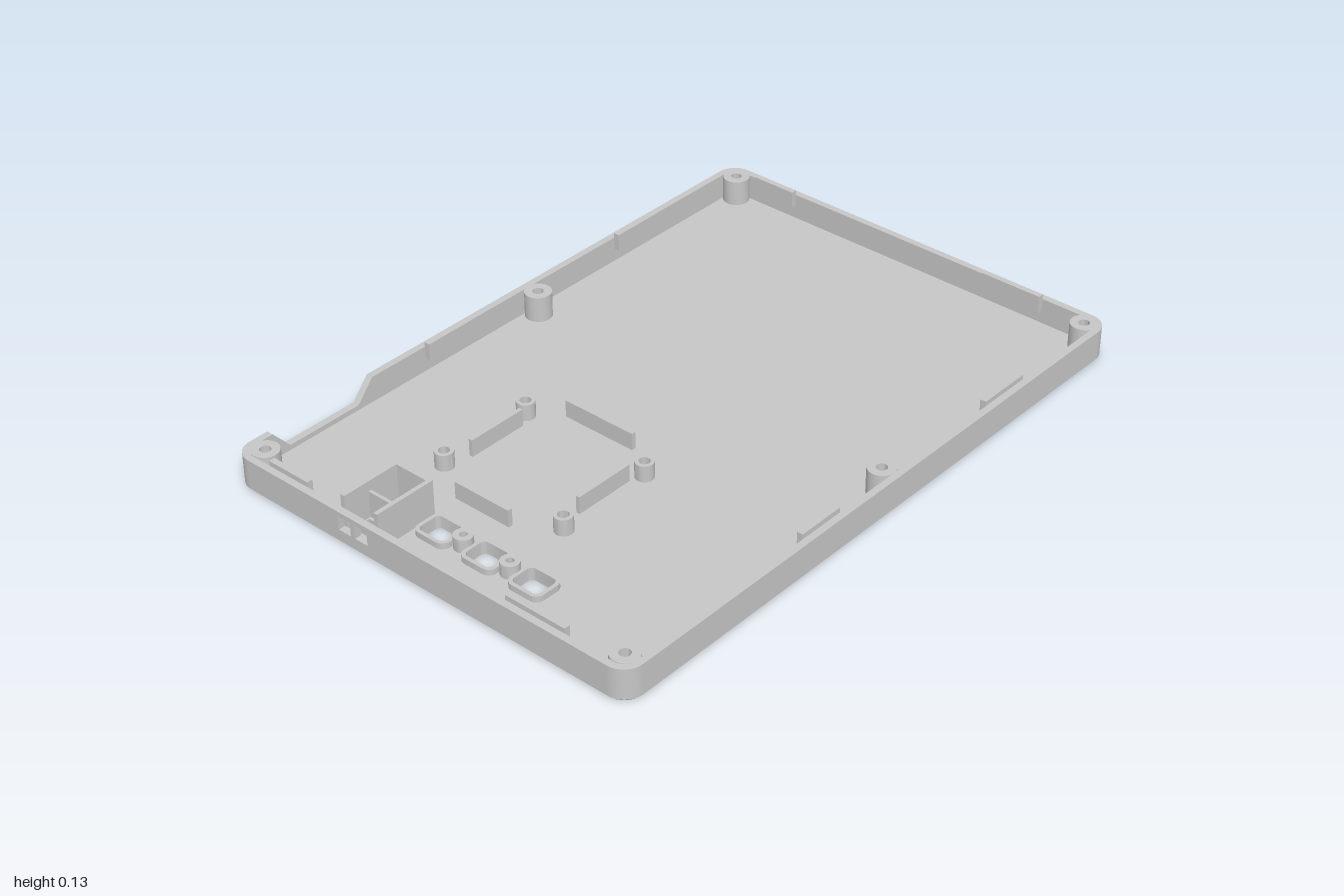
import * as THREE from 'three';
import { toCreasedNormals } from 'three/addons/utils/BufferGeometryUtils.js';

const W = 0.683, L = 1, H = 0.098, T = 0.021, R = 0.06, FLOOR = 0.02, CH = 0.007;

// Rounded rectangle, in plan coordinates (x, -z)
function roundRect(P, x, z, w, l, r) {
  const p = new P(), a = w / 2 - r, b = l / 2 - r, y = -z;
  p.absarc(x + a, y + b, r, 0, Math.PI / 2);
  p.absarc(x - a, y + b, r, Math.PI / 2, Math.PI);
  p.absarc(x - a, y - b, r, Math.PI, Math.PI * 1.5);
  p.absarc(x + a, y - b, r, Math.PI * 1.5, Math.PI * 2);
  p.closePath();
  return p;
}
function circle(P, x, z, r) {
  const p = new P();
  p.absarc(x, -z, r, 0, Math.PI * 2);
  return p;
}
function polygon(P, pts) {
  return new P(pts.map(([x, y]) => new THREE.Vector2(x, y)));
}
const rect = (P, x0, x1, y0, y1) => polygon(P, [[x0, y0], [x1, y0], [x1, y1], [x0, y1]]);
const extrude = (shape, depth) =>
  toCreasedNormals(new THREE.ExtrudeGeometry(shape, { depth, bevelEnabled: false, curveSegments: 10 }), 0.7);

export function createModel() {
  const model = new THREE.Group();
  model.name = 'enclosureHalf';
  const grey = new THREE.MeshStandardMaterial({ color: 0xc6c6c6 });
  grey.name = 'light grey plastic';

  const add = (name, geo) => {
    const m = new THREE.Mesh(geo, grey);
    m.name = name;
    model.add(m);
  };
  // Plan shape raised from y0 to y1
  const plate = (name, shape, y0, y1) =>
    add(name, extrude(shape, y1 - y0).rotateX(-Math.PI / 2).translate(0, y0, 0));
  const box = (name, x0, x1, y0, y1, z0, z1) =>
    add(name, new THREE.BoxGeometry(x1 - x0, y1 - y0, z1 - z0)
      .translate((x0 + x1) / 2, (y0 + y1) / 2, (z0 + z1) / 2));
  const tube = (name, x, z, r, hole, y1) => {
    const s = circle(THREE.Shape, x, z, r);
    s.holes.push(circle(THREE.Path, x, z, hole));
    plate(name, s, FLOOR, y1);
  };

  const screws = [[-0.627, -0.95], [0.627, -0.953], [-0.627, -0.083], [0.623, -0.043], [-0.627, 0.937], [0.623, 0.937]];
  const buttons = [-0.102, 0.06, 0.222], buttonZ = 0.826;

  // Floor with screw, button and vent openings
  const floor = roundRect(THREE.Shape, 0, 0, 2 * (W - CH), 2 * (L - CH), R - CH);
  screws.forEach(([x, z]) => floor.holes.push(circle(THREE.Path, x, z, 0.028)));
  buttons.forEach(x => floor.holes.push(roundRect(THREE.Path, x, buttonZ, 0.09, 0.075, 0.015)));
  for (let i = 0; i < 4; i++) {
    const z = 0.9 + 0.021 * i;
    floor.holes.push(rect(THREE.Path, -0.285, -0.191, -z - 0.012, -z));
  }
  plate('floor', floor, 0, FLOOR);

  // Chamfer around the bottom edge
  const low = roundRect(THREE.Shape, 0, 0, 2 * (W - CH), 2 * (L - CH), R - CH).getPoints(10);
  const high = roundRect(THREE.Shape, 0, 0, 2 * W, 2 * L, R).getPoints(10);
  const pos = [];
  for (let i = 0; i < low.length; i++) {
    const j = (i + 1) % low.length;
    const a = [low[i].x, 0, -low[i].y], b = [low[j].x, 0, -low[j].y];
    const c = [high[j].x, CH, -high[j].y], d = [high[i].x, CH, -high[i].y];
    pos.push(...a, ...b, ...c, ...a, ...c, ...d);
  }
  const chamfer = new THREE.BufferGeometry();
  chamfer.setAttribute('position', new THREE.Float32BufferAttribute(pos, 3));
  chamfer.computeVertexNormals();
  add('bottomChamfer', toCreasedNormals(chamfer, 0.7));

  // Front wall with two port windows, plain back wall
  const ex = W - R, ez = L - R;
  const front = rect(THREE.Shape, -ex, ex, CH, H);
  front.holes.push(rect(THREE.Path, -0.288, -0.244, 0.042, 0.084), rect(THREE.Path, -0.229, -0.184, 0.042, 0.084));
  add('frontWall', extrude(front, T).translate(0, 0, L - T));
  box('backWall', -ex, ex, CH, H, -L, -L + T);

  // Plain left wall, right wall with a sloped cut-out
  box('leftWall', W - T, W, CH, H, -ez, ez);
  const side = polygon(THREE.Shape, [[-ez, CH], [ez, CH], [ez, H], [0.88, H], [0.825, 0.035],
    [0.58, 0.035], [0.525, H], [-ez, H]]);
  add('rightWall', extrude(side, T).rotateY(-Math.PI / 2).translate(-W + T, 0, 0));

  // Rounded wall corners
  [[1, 1], [-1, 1], [-1, -1], [1, -1]].forEach(([sx, sy], i) => {
    const a = i * Math.PI / 2, s = new THREE.Shape();
    s.absarc(sx * ex, sy * ez, R, a, a + Math.PI / 2, false);
    s.absarc(sx * ex, sy * ez, R - T, a + Math.PI / 2, a, true);
    s.closePath();
    plate('wallCorner', s, CH, H);
  });

  // Screw bosses and board standoffs
  screws.forEach(([x, z]) => tube('screwBoss', x, z, 0.04, 0.016, H));
  for (const x of [-0.305, 0.12]) for (const z of [0.305, 0.611]) tube('standoff', x, z, 0.027, 0.016, 0.07);
  for (const x of [-0.021, 0.141]) tube('buttonPost', x, buttonZ, 0.027, 0.011, 0.06);

  // Raised rims around the button openings
  buttons.forEach(x => {
    const s = roundRect(THREE.Shape, x, buttonZ, 0.112, 0.097, 0.025);
    s.holes.push(roundRect(THREE.Path, x, buttonZ, 0.09, 0.075, 0.015));
    plate('buttonRim', s, FLOOR, 0.038);
  });

  // Locating fins around the board area
  const finTop = 0.072;
  box('boardFin', -0.221, 0.017, FLOOR, finTop, 0.226, 0.239);
  box('boardFin', -0.183, 0.007, FLOOR, finTop, 0.68, 0.694);
  for (const x of [-0.284, 0.098]) box('boardFin', x - 0.006, x + 0.006, FLOOR, finTop, 0.345, 0.535);

  // Snap tabs along the inner walls
  for (const s of [-1, 1]) {
    for (const [a, b] of [[-0.563, -0.42], [0.275, 0.47]]) {
      const z = s * 0.97;
      box('snapTab', a, b, 0.06, 0.113, z - 0.009, z + 0.009);
    }
    for (const [a, b] of [[-0.61, -0.44], [0.18, 0.328]]) {
      const x = s * 0.653;
      box('snapTab', x - 0.009, x + 0.009, 0.06, 0.113, a, b);
    }
  }

  // Port housing behind the front windows
  box('portHousingSide', -0.303, -0.289, FLOOR, 0.13, 0.78, 0.973);
  box('portHousingSide', -0.183, -0.17, FLOOR, 0.13, 0.78, 0.973);
  box('portHousingBack', -0.289, -0.183, FLOOR, 0.13, 0.78, 0.792);
  box('portHousingDivider', -0.289, -0.183, FLOOR, 0.1, 0.882, 0.892);

  return model;
}
